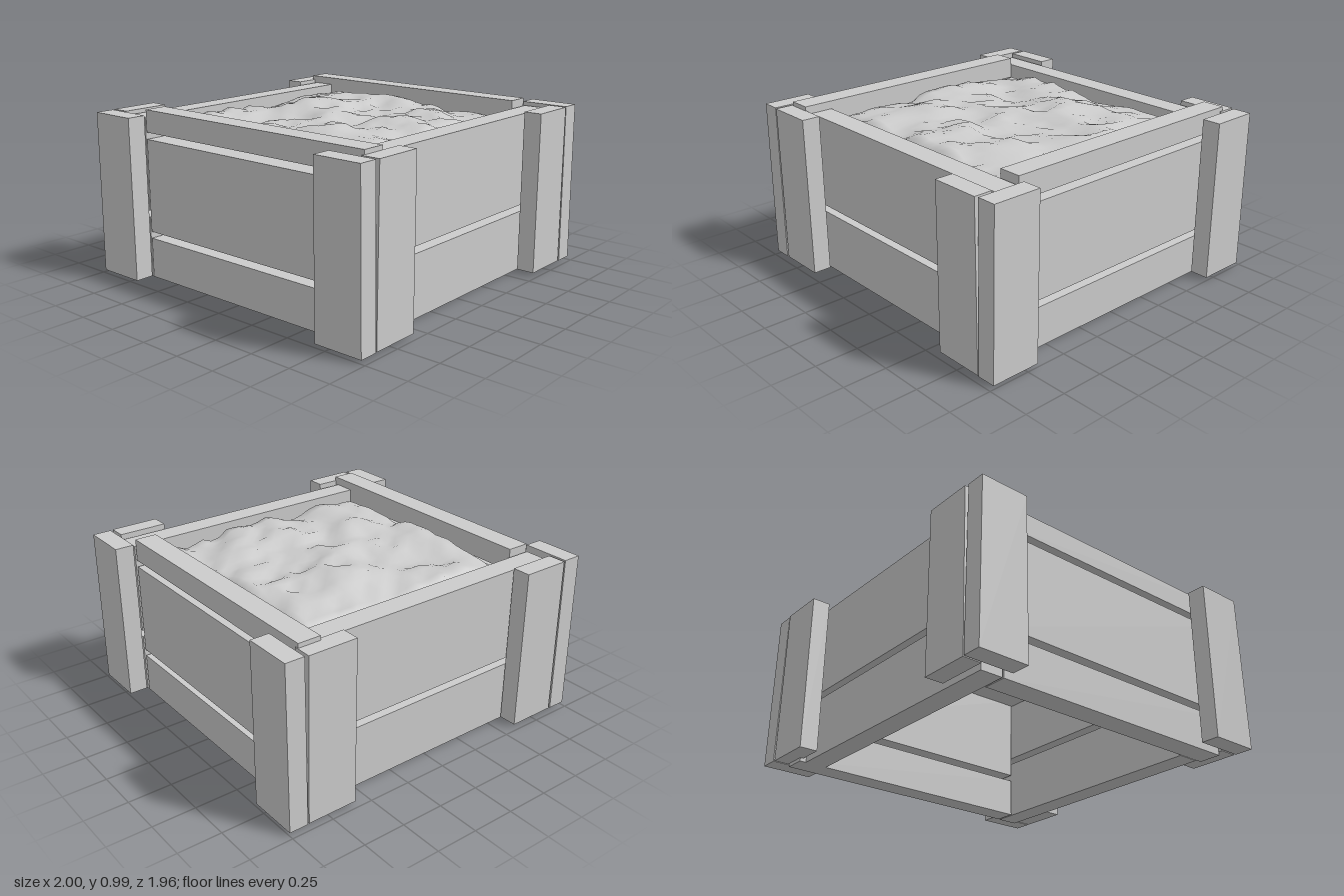
import * as THREE from 'three';

const material = new THREE.MeshStandardMaterial({ color: 0xcccccc });
const sheetMaterial = new THREE.MeshStandardMaterial({ color: 0xcccccc, side: THREE.DoubleSide });

// Box given by its lower and upper limits on each axis
function block(name, [x0, x1], [y0, y1], [z0, z1]) {
  const geometry = new THREE.BoxGeometry(x1 - x0, y1 - y0, z1 - z0);
  geometry.translate((x0 + x1) / 2, (y0 + y1) / 2, (z0 + z1) / 2);
  const mesh = new THREE.Mesh(geometry, material);
  mesh.name = name;
  return mesh;
}

// Upright batten whose outer edge along one axis flares slightly at the foot
function batten(name, axis, x, z) {
  const mesh = block(name, x, [0.02, 0.965], z);
  const p = mesh.geometry.attributes.position;
  for (let k = 0; k < p.count; k++) {
    const c = p.getComponent(k, axis);
    if (p.getY(k) < 0.5 && Math.abs(c) > 0.8) p.setComponent(k, axis, c * 1.01);
  }
  mesh.geometry.computeVertexNormals();
  return mesh;
}

// Repeatable value in 0..1 for a grid point
function hash(i, j) {
  let h = Math.imul(i, 374761393) + Math.imul(j, 668265263);
  h = Math.imul(h ^ (h >>> 13), 1274126177);
  return ((h ^ (h >>> 16)) >>> 0) / 4294967295;
}

// Smoothly interpolated grid noise in -1..1
function noise(x, z) {
  const i = Math.floor(x), j = Math.floor(z);
  const u = THREE.MathUtils.smoothstep(x - i, 0, 1);
  const v = THREE.MathUtils.smoothstep(z - j, 0, 1);
  const a = THREE.MathUtils.lerp(hash(i, j), hash(i + 1, j), u);
  const b = THREE.MathUtils.lerp(hash(i, j + 1), hash(i + 1, j + 1), u);
  return THREE.MathUtils.lerp(a, b, v) * 2 - 1;
}

// Lumpy sheet of loose filling that drops steeply at a ragged rim
function createFilling() {
  const width = 1.45, depth = 1.42, cells = 26;
  const geometry = new THREE.PlaneGeometry(width, depth, cells, cells).rotateX(-Math.PI / 2);
  const p = geometry.attributes.position;
  for (let k = 0; k < p.count; k++) {
    const x = p.getX(k), z = p.getZ(k);
    const edge = Math.min(width / 2 - Math.abs(x), depth / 2 - Math.abs(z));
    const bumps = 0.035 * noise(x * 5 + 20, z * 5 + 20) + 0.025 * noise(x * 11 + 50, z * 11 + 50);
    if (edge < 0.001) {
      const ragged = hash(k, 7);
      p.setXYZ(k, x * (1 - 0.025 * ragged), 0.845 + 0.015 * ragged, z * (1 - 0.025 * ragged));
    } else {
      p.setY(k, 0.9 + 0.025 * THREE.MathUtils.smoothstep(edge, 0, 0.3) + bumps);
    }
  }
  geometry.computeVertexNormals();
  const mesh = new THREE.Mesh(geometry, sheetMaterial);
  mesh.name = 'filling';
  return mesh;
}

export function createModel() {
  const model = new THREE.Group();
  model.name = 'crate';

  // Two boards on the front and back
  for (const y of [[0, 0.36], [0.4, 0.945]]) {
    model.add(block('frontBoard', [-0.715, 0.872], y, [0.705, 0.838]));
    model.add(block('backBoard', [-0.855, 0.738], y, [-0.85, -0.72]));
  }

  // Three boards on each side, overlapping the ends in turn
  for (const y of [[0, 0.235], [0.275, 0.82], [0.86, 0.99]]) {
    model.add(block('rightBoard', [-0.855, -0.72], y, [-0.712, 0.872]));
    model.add(block('leftBoard', [0.738, 0.868], y, [-0.888, 0.695]));
  }

  // A pair of upright battens at every corner
  for (const sx of [-1, 1]) {
    for (const sz of [-1, 1]) {
      const span = (s, a, b) => (s > 0 ? [a, b] : [-b, -a]);
      const corner = new THREE.Group();
      corner.name = 'cornerPost';
      corner.add(batten('sideBatten', 2, span(sx, 0.89, 1), span(sz, 0.683, 0.968)));
      corner.add(batten('endBatten', 0, span(sx, 0.587, 0.872), span(sz, 0.868, 0.975)));
      model.add(corner);
    }
  }

  // Thin panel that carries the filling
  const panel = new THREE.Mesh(new THREE.PlaneGeometry(1.455, 1.42).rotateX(Math.PI / 2), sheetMaterial);
  panel.name = 'fillingPanel';
  panel.position.set(0.009, 0.785, -0.008);
  model.add(panel);

  const filling = createFilling();
  filling.position.set(0.009, 0, -0.008);
  model.add(filling);
  return model;
}
